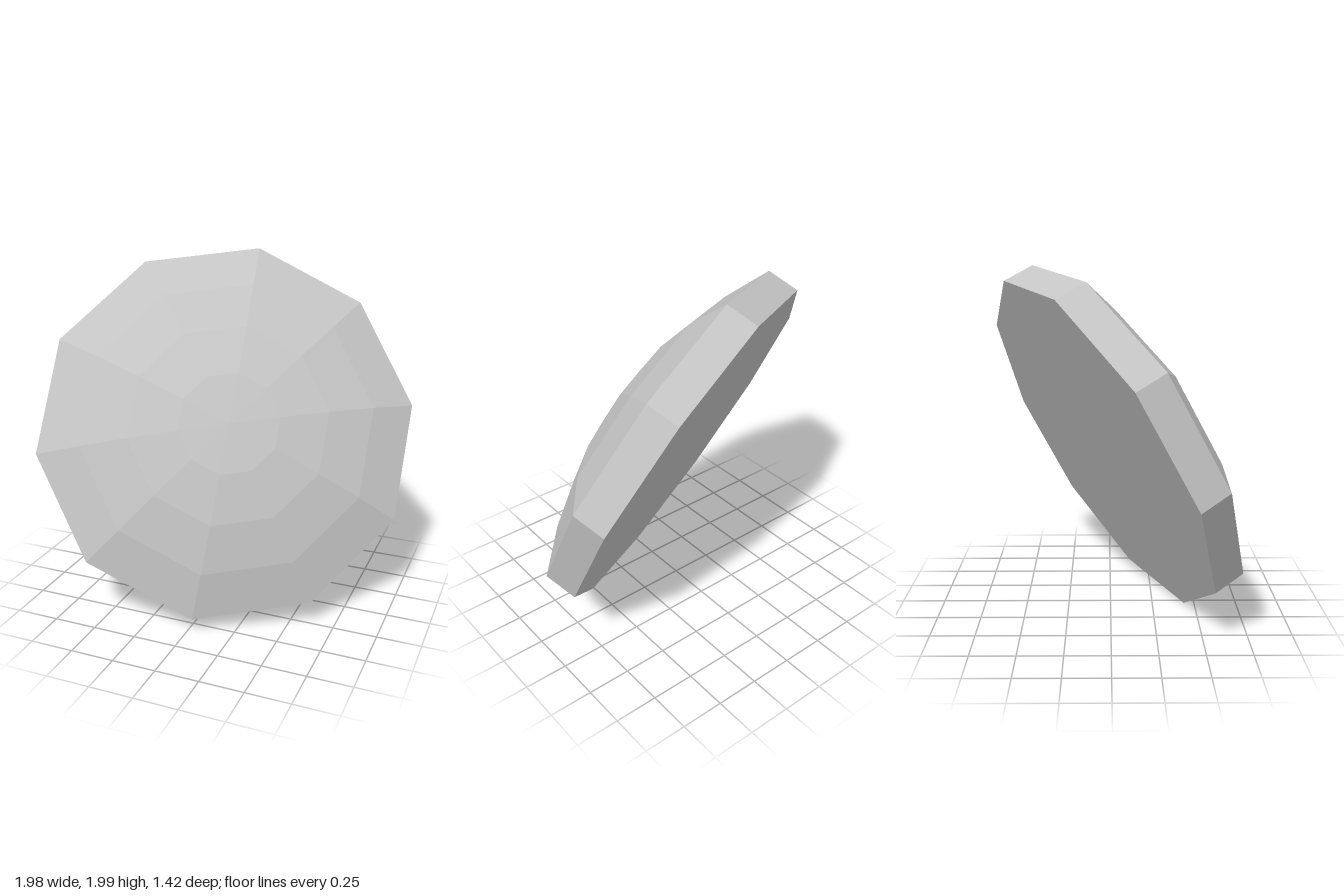
import * as THREE from 'three';

const SIDES = 10, RADIUS = 1.085, THICKNESS = 0.19, CAP_ANGLE = Math.PI / 6, RINGS = 4;

export function createModel() {
  const model = new THREE.Group();
  model.name = 'domedDisc';
  const grey = new THREE.MeshStandardMaterial({ color: 0xc4c4c4, flatShading: true });
  grey.name = 'light grey';

  // Ten-sided solid turned from a profile of [radius, height] points
  const turned = (name, profile) => {
    const points = profile.map(([r, h]) => new THREE.Vector2(r, h));
    const mesh = new THREE.Mesh(new THREE.LatheGeometry(points, SIDES), grey);
    mesh.name = name;
    model.add(mesh);
  };

  // Flat back and straight rim
  turned('backAndRim', [[0, 0], [RADIUS, 0], [RADIUS, THICKNESS]]);

  // Shallow spherical cap, in rings of equal angle
  const sphere = RADIUS / Math.sin(CAP_ANGLE);
  const cap = [];
  for (let i = RINGS; i >= 0; i--) {
    const a = CAP_ANGLE * i / RINGS;
    cap.push([sphere * Math.sin(a), THICKNESS + sphere * (Math.cos(a) - Math.cos(CAP_ANGLE))]);
  }
  turned('dome', cap);

  // Tilt the axis forward, up and to the left, with one corner uppermost
  const axis = new THREE.Vector3(0.382, 0.44, 0.813).normalize();
  const side = new THREE.Vector3().crossVectors(axis, new THREE.Vector3(0, 0.88, -0.476)).normalize();
  const corner = new THREE.Vector3().crossVectors(side, axis);
  model.quaternion.setFromRotationMatrix(new THREE.Matrix4().makeBasis(side, axis, corner));
  model.position.set(-0.04, 0.959, -0.077);
  return model;
}
